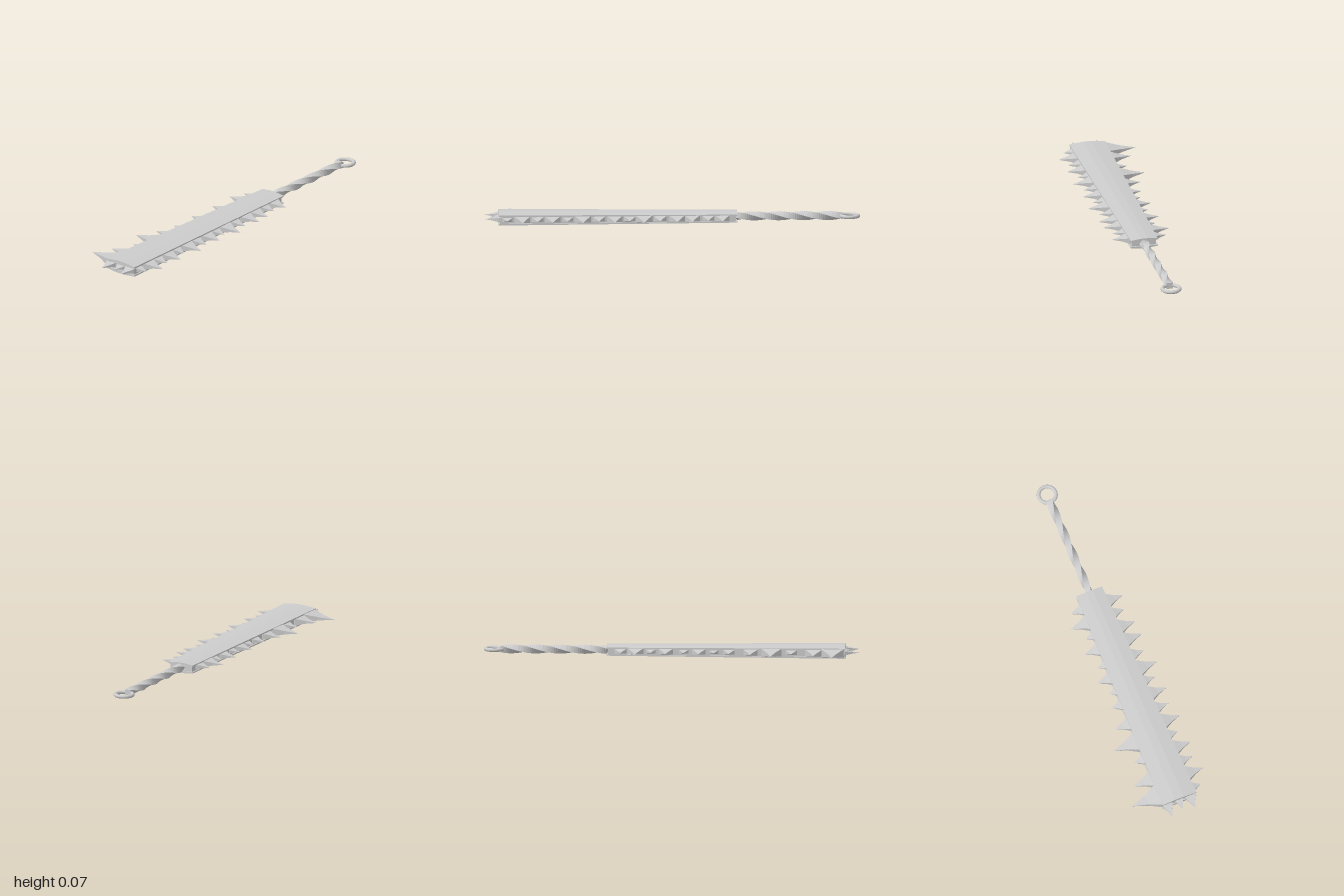
import * as THREE from 'three';

const material = new THREE.MeshStandardMaterial({ color: 0xcccccc, flatShading: true });
const smooth = new THREE.MeshStandardMaterial({ color: 0xcccccc });
const MID_Y = 0.037, MID_Z = 0.028;
const X0 = -0.92, X1 = 0.345;

// Joins cross-sections given as { x, ring: [[y, z], ...] }, with both ends closed
function loft(sections) {
  const pos = [];
  const tri = (...pts) => pts.forEach((p) => pos.push(...p));
  const rings = sections.map(({ x, ring }) => ring.map(([y, z]) => [x, y, z]));
  const n = rings[0].length;
  for (let s = 0; s < rings.length - 1; s++) {
    for (let i = 0; i < n; i++) {
      const j = (i + 1) % n, a = rings[s], b = rings[s + 1];
      tri(a[i], a[j], b[j]);
      tri(a[i], b[j], b[i]);
    }
  }
  const first = rings[0], last = rings[rings.length - 1];
  for (let i = 1; i < n - 1; i++) {
    tri(first[0], first[i + 1], first[i]);
    tri(last[0], last[i], last[i + 1]);
  }
  const geo = new THREE.BufferGeometry();
  geo.setAttribute('position', new THREE.Float32BufferAttribute(pos, 3));
  geo.computeVertexNormals();
  return geo;
}

const rect = (h, w) => [[h, -w], [h, w], [-h, w], [-h, -w]];
const halfWidth = (x) => THREE.MathUtils.mapLinear(x, X0, X1, 0.097, 0.073);

// Ridged cover plate section
function plateRing(w, k) {
  return [[0.035 * k, -0.25 * w], [0.035 * k, 0.25 * w], [0.027 * k, w],
    [0.019 * k, w], [0.019 * k, -w], [0.027 * k, -w]];
}

// Four-sided tooth with slightly hollow flanks, pointing along +x
function toothGeometry(length, width) {
  const h = Math.min(width * 0.2, 0.022), w = width / 2;
  return loft([[-0.02, 1.05], [0, 1], [0.45, 0.45], [1, 0.001]].map(([t, k]) => ({
    x: t < 0 ? t : t * length, ring: rect(h * k, w * k),
  })));
}

export function createModel() {
  const model = new THREE.Group();
  const add = (name, geo, parent, mat = material) => {
    const mesh = new THREE.Mesh(geo, mat);
    mesh.name = name;
    parent.add(mesh);
    return mesh;
  };

  // Blade: recessed core between two tapering plates
  const blade = new THREE.Group();
  blade.name = 'blade';
  blade.position.set(0, MID_Y, MID_Z);
  model.add(blade);
  add('bladeCore', loft([
    { x: X0 + 0.006, ring: rect(0.022, 0.089) },
    { x: X1 - 0.008, ring: rect(0.018, 0.066) },
  ]), blade);
  const plate = loft([
    { x: X0, ring: plateRing(0.097, 1) },
    { x: X1, ring: plateRing(0.073, 0.8) },
  ]);
  add('topPlate', plate, blade);
  add('bottomPlate', plate, blade).scale.y = -1;

  // Teeth along both edges: [x, z of the tip]
  const teeth = new THREE.Group();
  teeth.name = 'teeth';
  model.add(teeth);
  const backTips = [[-0.855, -0.22], [-0.755, -0.17], [-0.635, -0.12], [-0.53, -0.19],
    [-0.42, -0.14], [-0.305, -0.115], [-0.225, -0.093], [-0.145, -0.13], [-0.065, -0.093],
    [0.03, -0.13], [0.11, -0.09], [0.19, -0.145], [0.27, -0.11]];
  const frontTips = [[-0.875, 0.17], [-0.795, 0.215], [-0.715, 0.185], [-0.635, 0.21],
    [-0.555, 0.17], [-0.475, 0.215], [-0.39, 0.18], [-0.305, 0.205], [-0.225, 0.17],
    [-0.15, 0.215], [-0.065, 0.175], [0.025, 0.2], [0.105, 0.195], [0.19, 0.165], [0.265, 0.185]];
  for (const [x, z] of [...backTips, ...frontTips]) {
    const side = Math.sign(z);
    const base = MID_Z + side * (halfWidth(x) - 0.004);
    const length = Math.abs(z - base);
    const tooth = add(side > 0 ? 'frontTooth' : 'backTooth',
      toothGeometry(length, 0.02 + 0.65 * length), teeth);
    tooth.position.set(x, MID_Y + 0.002, base);
    tooth.rotation.y = -side * Math.PI / 2;
  }

  // Teeth on the far end
  for (const [z, tip, width] of [[-0.04, -0.995, 0.055], [0.028, -0.97, 0.045], [0.09, -0.995, 0.06]]) {
    const tooth = add('endTooth', toothGeometry(X0 - tip, width), teeth);
    tooth.position.set(X0, MID_Y + 0.002, z);
    tooth.rotation.y = Math.PI;
  }

  // Twisted square-bar handle
  const steps = 60, sections = [];
  for (let i = 0; i <= steps; i++) {
    const t = i / steps, ring = [];
    for (let c = 0; c < 4; c++) {
      const a = c * Math.PI / 2 + t * Math.PI * 2.25;
      ring.push([0.024 * Math.cos(a), 0.024 * Math.sin(a)]);
    }
    sections.push({ x: 0.32 + t * 0.587, ring });
  }
  add('handle', loft(sections), model).position.set(0, MID_Y + 0.001, MID_Z);

  // Ring on the handle's end
  const loop = add('ring', new THREE.TorusGeometry(0.046, 0.01, 12, 40), model, smooth);
  loop.rotation.x = Math.PI / 2;
  loop.position.set(0.941, MID_Y, MID_Z + 0.002);

  // Rest the model on the ground
  const box = new THREE.Box3().setFromObject(model);
  model.children.forEach((part) => { part.position.y -= box.min.y; });
  return model;
}
